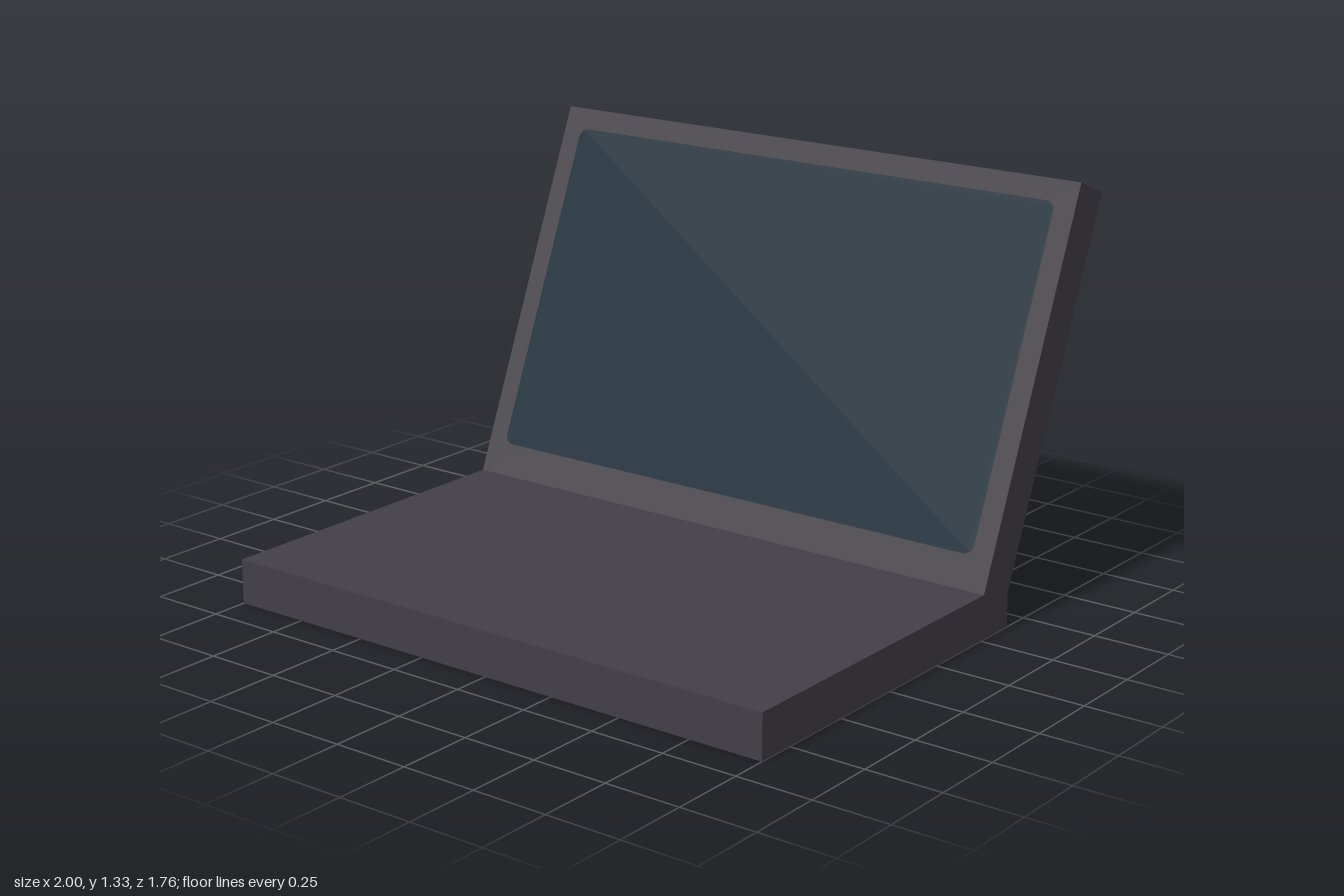
import * as THREE from 'three';

const WIDTH = 2;

// Side profile given as [z, y] corners, extruded across the full width
function sideExtrusion(points) {
  const shape = new THREE.Shape(points.map(([z, y]) => new THREE.Vector2(z, y)));
  const geo = new THREE.ExtrudeGeometry(shape, { depth: WIDTH, bevelEnabled: false });
  return geo.rotateY(-Math.PI / 2).translate(WIDTH / 2, 0, 0);
}

function roundedRect(x0, y0, x1, y1, r) {
  const s = new THREE.Shape();
  s.absarc(x1 - r, y0 + r, r, -Math.PI / 2, 0);
  s.absarc(x1 - r, y1 - r, r, 0, Math.PI / 2);
  s.absarc(x0 + r, y1 - r, r, Math.PI / 2, Math.PI);
  s.absarc(x0 + r, y0 + r, r, Math.PI, Math.PI * 1.5);
  s.closePath();
  return s;
}

export function createModel() {
  const model = new THREE.Group();
  model.name = 'laptop';

  const casing = new THREE.MeshStandardMaterial({ name: 'charcoal casing', color: 0x424046 });
  const glass = new THREE.MeshStandardMaterial({ name: 'dark blue glass', color: 0x102734 });
  const socket = new THREE.MeshStandardMaterial({ name: 'black socket', color: 0x17171a });

  const add = (name, geo, mat, parent = model) => {
    const mesh = new THREE.Mesh(geo, mat);
    mesh.name = name;
    parent.add(mesh);
    return mesh;
  };

  // Hinge line where lid and base meet, and the top edge of the lid
  const hingeFront = [-0.26, 0.145], hingeBack = [-0.4, 0.115];
  const topFront = [-0.75, 1.33], topBack = [-0.88, 1.277];

  // Base slab
  add('base', sideExtrusion([[0.88, 0], [0.88, 0.145], hingeFront, hingeBack, [-0.4, 0]]), casing);

  // Leaning lid
  add('lid', sideExtrusion([hingeFront, topFront, topBack, hingeBack]), casing);

  // Screen panel lying on the lid's front face
  const panel = new THREE.Group();
  panel.name = 'screenPanel';
  panel.position.set(0, hingeFront[1], hingeFront[0]);
  panel.rotation.x = -Math.atan2(hingeFront[0] - topFront[0], topFront[1] - hingeFront[1]);
  model.add(panel);
  const screen = new THREE.ShapeGeometry(roundedRect(-0.93, 0.108, 0.93, 1.212, 0.032), 8);
  add('screen', screen, glass, panel).position.z = 0.003;

  // Small sockets on the side of the base
  for (const [z, y] of [[-0.17, 0.06], [-0.13, 0.085]]) {
    const jack = new THREE.CylinderGeometry(0.015, 0.015, 0.004, 16).rotateZ(Math.PI / 2);
    add('socket', jack, socket).position.set(-WIDTH / 2, y, z);
  }

  return model;
}
